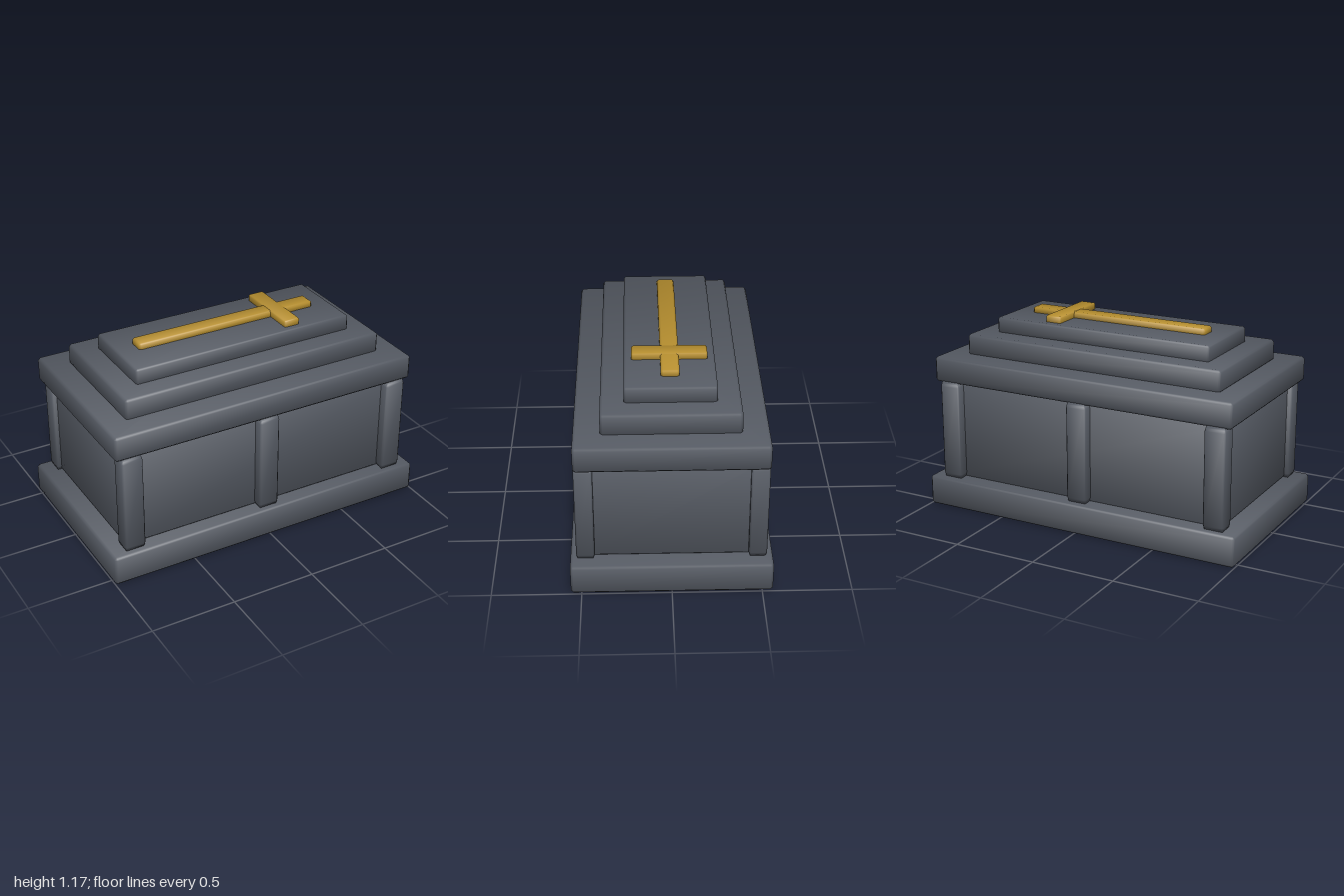
import * as THREE from 'three';

const stone = new THREE.MeshStandardMaterial({ color: 0x555a63 });
stone.name = 'slate grey stone';
const gold = new THREE.MeshStandardMaterial({ color: 0xb8902f });
gold.name = 'gold';

// Box with chamfered edges and softly blended normals, given by min/max corners and bevel per axis
function chamferBox(min, max, bevel) {
  const geo = new THREE.BoxGeometry(1, 1, 1, 3, 3, 3);
  const pos = geo.attributes.position, nor = geo.attributes.normal;
  for (let i = 0; i < pos.count; i++) {
    const p = [pos.getX(i), pos.getY(i), pos.getZ(i)];
    const outer = p.map(v => Math.abs(v) > 0.4);
    const n = outer.filter(Boolean).length;
    const inset = [0, 0, 0.5, 2 / 3][n];
    const side = [0, 0.39, 0.56, 1][n];
    const q = p.map((v, a) => {
      const half = (max[a] - min[a]) / 2;
      return (min[a] + max[a]) / 2 + Math.sign(v) * (half - bevel[a] * (outer[a] ? inset : 1));
    });
    const m = new THREE.Vector3(...p.map((v, a) => Math.sign(v) * (outer[a] ? 1 : side))).normalize();
    pos.setXYZ(i, ...q);
    nor.setXYZ(i, m.x, m.y, m.z);
  }
  return geo;
}

export function createModel() {
  const model = new THREE.Group();
  model.name = 'tomb';
  const add = (name, min, max, bevel, material = stone) => {
    const mesh = new THREE.Mesh(chamferBox(min, max, bevel), material);
    mesh.name = name;
    model.add(mesh);
  };
  // Slab centred on the vertical axis
  const slab = (name, hx, hz, y0, y1, b) => add(name, [-hx, y0, -hz], [hx, y1, hz], [b, b, b]);

  slab('plinth', 1, 0.56, 0, 0.18, 0.015);
  slab('body', 0.89, 0.47, 0.17, 0.78, 0.02);

  // Stepped lid
  slab('lidLower', 0.955, 0.527, 0.77, 0.92, 0.015);
  slab('lidMiddle', 0.817, 0.381, 0.91, 1.04, 0.015);
  slab('lidUpper', 0.688, 0.252, 1.03, 1.13, 0.012);

  // Corner and middle pillars along both long sides
  for (const z of [-0.476, 0.476])
    for (const x of [-0.857, 0, 0.857])
      add('pillar', [x - 0.063, 0.175, z - 0.051], [x + 0.063, 0.775, z + 0.051], [0.01, 0.03, 0.01]);

  // Cross lying on the lid
  add('crossShaft', [-0.567, 1.12, -0.051], [0.565, 1.165, 0.051], [0.012, 0.01, 0.012], gold);
  add('crossArm', [0.28, 1.12, -0.21], [0.378, 1.168, 0.21], [0.006, 0.008, 0.01], gold);

  return model;
}
